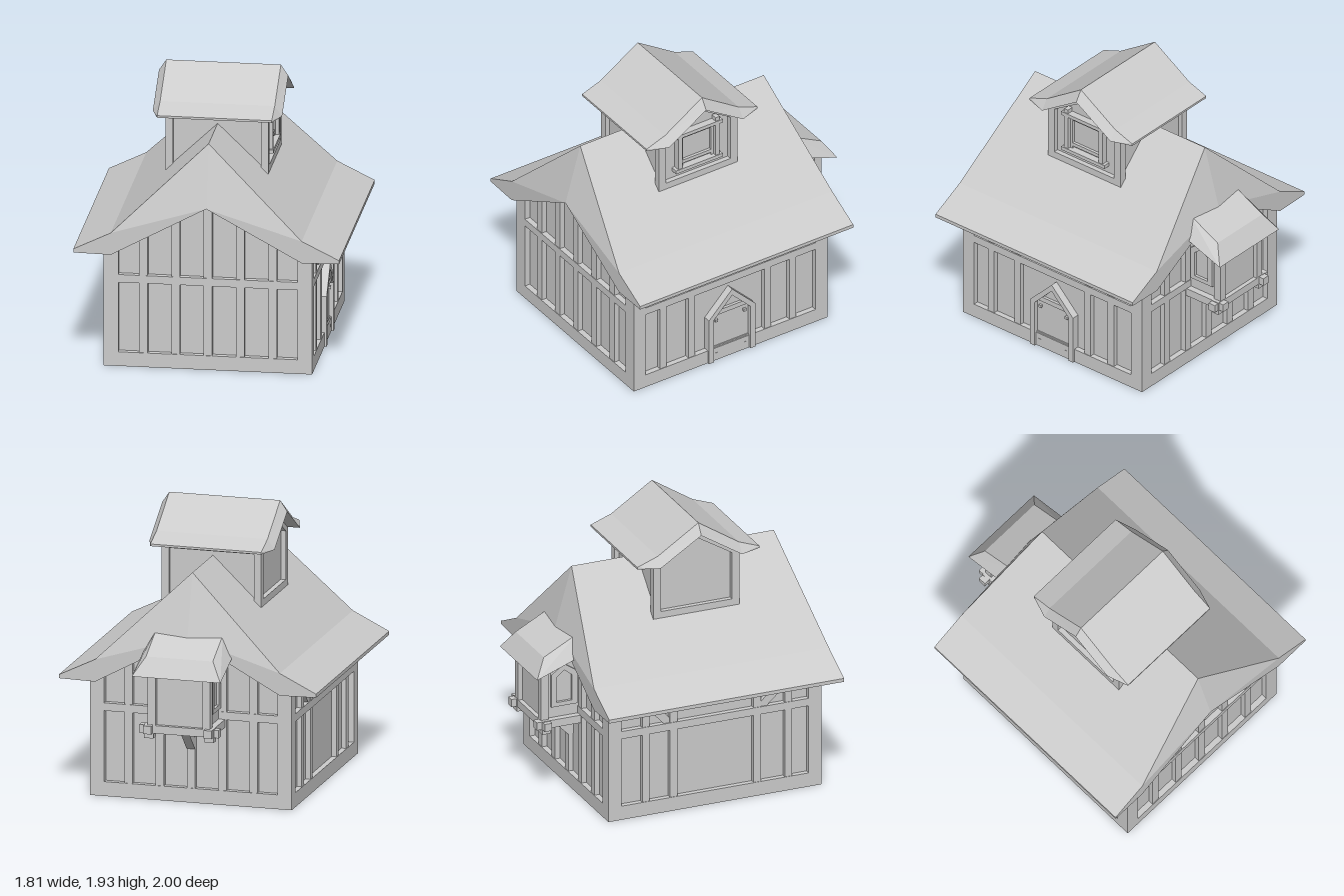
import * as THREE from 'three';
import { ConvexGeometry } from 'three/addons/geometries/ConvexGeometry.js';

const material = new THREE.MeshStandardMaterial({ color: 0xcccccc, flatShading: true, side: THREE.DoubleSide });

function add(parent, name, geometry) {
  const mesh = new THREE.Mesh(geometry, material);
  mesh.name = name;
  parent.add(mesh);
  return mesh;
}

// Box given by its limits on each axis
function box(parent, name, x0, x1, y0, y1, z0, z1) {
  const g = new THREE.BoxGeometry(Math.abs(x1 - x0), y1 - y0, Math.abs(z1 - z0));
  g.translate((x0 + x1) / 2, (y0 + y1) / 2, (z0 + z1) / 2);
  return add(parent, name, g);
}

// Plate drawn as [z, y] points and extruded from x0 to x1
function sidePlate(parent, name, points, x0, x1, hole) {
  const toVec = (p) => new THREE.Vector2(-p[0], p[1]);
  const shape = new THREE.Shape(points.map(toVec));
  if (hole) shape.holes.push(new THREE.Path(hole.map(toVec)));
  const g = new THREE.ExtrudeGeometry(shape, { depth: Math.abs(x1 - x0), bevelEnabled: false });
  g.rotateY(Math.PI / 2).translate(Math.min(x0, x1), 0, 0);
  return add(parent, name, g);
}

// Pointed house outline in [z, y]
const house = (zc, half, bottom, eave, apex) => [
  [zc + half, bottom], [zc - half, bottom], [zc - half, eave], [zc, apex], [zc + half, eave]];

// Bent gable roof along z; top and under are five [x, y, halfLength] points from left to right
function gableRoof(top, under) {
  const pos = [];
  const quad = (a, b, c, d) => pos.push(...a, ...b, ...c, ...a, ...c, ...d);
  const at = (list, s) => list.map(([x, y, z]) => [x, y, z * s]);
  const tf = at(top, 1), tb = at(top, -1), uf = at(under, 1), ub = at(under, -1);
  for (let i = 0; i < 4; i++) {
    const j = i + 1;
    quad(tf[i], tf[j], tb[j], tb[i]);
    quad(ub[i], ub[j], uf[j], uf[i]);
    if (i < 2) {
      quad(uf[j], tf[j], tf[i], uf[i]);
      quad(ub[j], ub[i], tb[i], tb[j]);
    } else {
      quad(uf[i], uf[j], tf[j], tf[i]);
      quad(ub[i], tb[i], tb[j], ub[j]);
    }
  }
  quad(uf[4], ub[4], tb[4], tf[4]);
  quad(ub[0], uf[0], tf[0], tb[0]);
  const g = new THREE.BufferGeometry();
  g.setAttribute('position', new THREE.Float32BufferAttribute(pos, 3));
  g.computeVertexNormals();
  return g;
}

const X = 0.71, ZF = 0.92, ZB = -0.65, DEPTH = 0.07, INSET = 0.04;

function buildWalls(house0) {
  const walls = new THREE.Group();
  walls.name = 'timberWalls';
  house0.add(walls);

  // Gable walls, front and back
  const gable = new THREE.Shape([[-0.67, 0.01], [0.67, 0.01], [0.67, 0.83], [0, 1.19], [-0.67, 0.83]]
    .map((p) => new THREE.Vector2(...p)));
  for (const [name, z, s] of [['front', ZF, 1], ['back', ZB, -1]]) {
    const inner = z - s * DEPTH;
    add(walls, name + 'Panel', new THREE.ShapeGeometry(gable)).position.z = z - s * INSET;
    box(walls, name + 'Sill', -0.62, 0.62, 0, 0.1, inner, z);
    box(walls, name + 'Rail', -0.62, 0.62, 0.595, 0.65, inner, z);
    for (const x of [-0.44, -0.22, 0, 0.22, 0.44]) {
      box(walls, name + 'Post', x - 0.029, x + 0.029, 0.02, 1.19 - 0.54 * Math.abs(x), inner, z - s * 0.004);
    }
    for (const sx of [-1, 1]) {
      box(walls, name + 'CornerPost', sx * 0.61, sx * X, 0, 0.84, z - s * 0.095, z);
    }
  }

  // Long side walls
  for (const s of [-1, 1]) {
    const name = s > 0 ? 'left' : 'right';
    const outer = s * X, inner = s * (X - DEPTH), p = s * (X - INSET);
    sidePlate(walls, name + 'Panel', [[ZF - 0.04, 0.01], [ZB + 0.04, 0.01], [ZB + 0.04, 0.84], [ZF - 0.04, 0.84]], p - 0.002, p + 0.002);
    box(walls, name + 'Sill', inner, outer, 0, 0.1, ZB + 0.09, ZF - 0.09);
    box(walls, name + 'Rail', inner, outer, 0.595, 0.65, ZB + 0.09, ZF - 0.09);
    box(walls, name + 'TopBeam', inner, outer, 0.81, 0.84, ZB + 0.09, ZF - 0.09);
    for (const z of [0.678, 0.448, -0.168, -0.372]) {
      box(walls, name + 'Post', inner, s * (X - 0.004), 0.02, 0.84, z - 0.027, z + 0.027);
    }
    // Diagonal braces, high at the outer end
    for (const [hi, lo] of [[0.655, 0.47], [-0.35, -0.19]]) {
      const d = Math.sign(lo - hi);
      sidePlate(walls, name + 'Brace', [[hi, 0.77], [lo - d * 0.045, 0.645], [lo, 0.645], [lo, 0.68],
        [hi + d * 0.035, 0.82], [hi, 0.82]], inner, s * (X - 0.008));
    }
  }
}

function buildDoor(house0) {
  const door = new THREE.Group();
  door.name = 'door';
  house0.add(door);
  const zc = 0.132;
  sidePlate(door, 'doorFrame', [[zc + 0.188, 0], [zc + 0.148, 0], [zc + 0.148, 0.345], [zc, 0.495],
    [zc - 0.148, 0.345], [zc - 0.148, 0], [zc - 0.188, 0], [zc - 0.188, 0.355], [zc, 0.545], [zc + 0.188, 0.355]], 0.65, 0.725);
  sidePlate(door, 'doorLeaf', house(zc, 0.15, 0.01, 0.345, 0.495), 0.66, 0.695);
  box(door, 'lintel', 0.66, 0.715, 0.37, 0.405, zc - 0.12, zc + 0.12);
  box(door, 'doorBoard', 0.66, 0.702, 0.075, 0.11, zc - 0.148, zc + 0.148);
  for (const s of [-1, 1]) {
    for (const y of [0.04, 0.31]) box(door, 'hinge', 0.69, 0.712, y, y + 0.02, zc + s * 0.105, zc + s * 0.125);
  }
}

function buildDormer(house0) {
  const dormer = new THREE.Group();
  dormer.name = 'roofDormer';
  house0.add(dormer);
  const zc = 0.157;
  sidePlate(dormer, 'dormerCore', house(zc, 0.285, 1.2, 1.68, 1.84), -0.315, 0.315);
  for (const s of [-1, 1]) {
    sidePlate(dormer, 'gableFrame', house(zc, 0.318, 1.262, 1.67, 1.87), s * 0.3, s * 0.35,
      house(zc, 0.263, 1.31, 1.65, 1.81));
    box(dormer, 'topBeam', -0.31, 0.31, 1.63, 1.68, zc + s * 0.26, zc + s * 0.318);
  }
  // Window of crossing bars, on the left side only
  for (const s of [-1, 1]) {
    box(dormer, 'windowUpright', 0.31, 0.36, 1.36, 1.70, zc + s * 0.135, zc + s * 0.168);
    box(dormer, 'windowStile', 0.31, 0.335, 1.38, 1.66, zc + s * 0.115, zc + s * 0.135);
  }
  for (const y of [1.365, 1.645]) box(dormer, 'windowCrossbar', 0.31, 0.366, y, y + 0.026, zc - 0.19, zc + 0.19);
  for (const y of [1.41, 1.615]) box(dormer, 'windowRail', 0.31, 0.335, y, y + 0.025, zc - 0.135, zc + 0.135);

  const roof = add(dormer, 'dormerRoof', gableRoof(
    [[-0.45, 1.685, 0.39], [-0.3, 1.74, 0.39], [0, 1.935, 0.39], [0.3, 1.74, 0.39], [0.45, 1.685, 0.39]],
    [[-0.45, 1.67, 0.39], [-0.3, 1.67, 0.44], [0, 1.86, 0.44], [0.3, 1.67, 0.44], [0.45, 1.67, 0.39]]));
  roof.rotation.y = Math.PI / 2;
  roof.position.z = 0.153;
}

function buildBay(house0) {
  const bay = new THREE.Group();
  bay.name = 'backBay';
  house0.add(bay);
  sidePlate(bay, 'bayCore', [[-0.6, 0.56], [-0.9, 0.56], [-0.9, 1.0], [-0.6, 1.1]], -0.195, 0.195);
  box(bay, 'bayFrontBeam', -0.28, 0.28, 0.54, 0.595, -0.93, -0.875);
  box(bay, 'bayTopBeam', -0.2, 0.2, 0.93, 0.99, -0.925, -0.88);
  for (const s of [-1, 1]) {
    box(bay, 'bayPost', s * 0.165, s * 0.22, 0.57, 0.99, -0.93, -0.875);
    box(bay, 'bayFloorBeam', s * 0.185, s * 0.24, 0.542, 0.598, -0.97, -0.62);
    box(bay, 'beamEnd', s * 0.18, s * 0.245, 0.505, 0.6, -0.932, -0.873);
    // Pointed side window
    sidePlate(bay, 'bayWindow', house(-0.757, 0.095, 0.68, 0.92, 0.985), s * 0.18, s * 0.215,
      house(-0.757, 0.057, 0.71, 0.895, 0.94));
  }
  sidePlate(bay, 'bayBrace', [[-0.6, 0.375], [-0.65, 0.375], [-0.82, 0.545], [-0.74, 0.545], [-0.65, 0.455], [-0.6, 0.455]], -0.03, 0.03);

  // Hipped roof with a flared skirt
  const corners = [];
  for (const s of [-1, 1]) {
    for (const [x, y, z] of [[0.235, 1.195, -0.68], [0.235, 1.07, -0.918], [0.312, 0.945, -1.0], [0.312, 1.065, -0.68]]) {
      corners.push(new THREE.Vector3(s * x, y, z));
    }
  }
  add(bay, 'bayRoof', new ConvexGeometry(corners));
}

export function createModel() {
  const model = new THREE.Group();
  model.name = 'timberHouse';
  buildWalls(model);
  buildDoor(model);
  buildDormer(model);
  buildBay(model);

  // Main roof: the ridge is shorter than the eaves
  const roof = add(model, 'mainRoof', gableRoof(
    [[-0.905, 0.845, 0.865], [-0.65, 0.97, 0.865], [0, 1.595, 0.745], [0.65, 0.97, 0.865], [0.905, 0.845, 0.865]],
    [[-0.905, 0.82, 0.865], [-0.65, 0.815, 0.865], [0, 1.17, 0.865], [0.65, 0.815, 0.865], [0.905, 0.82, 0.865]]));
  roof.position.z = 0.135;
  return model;
}
